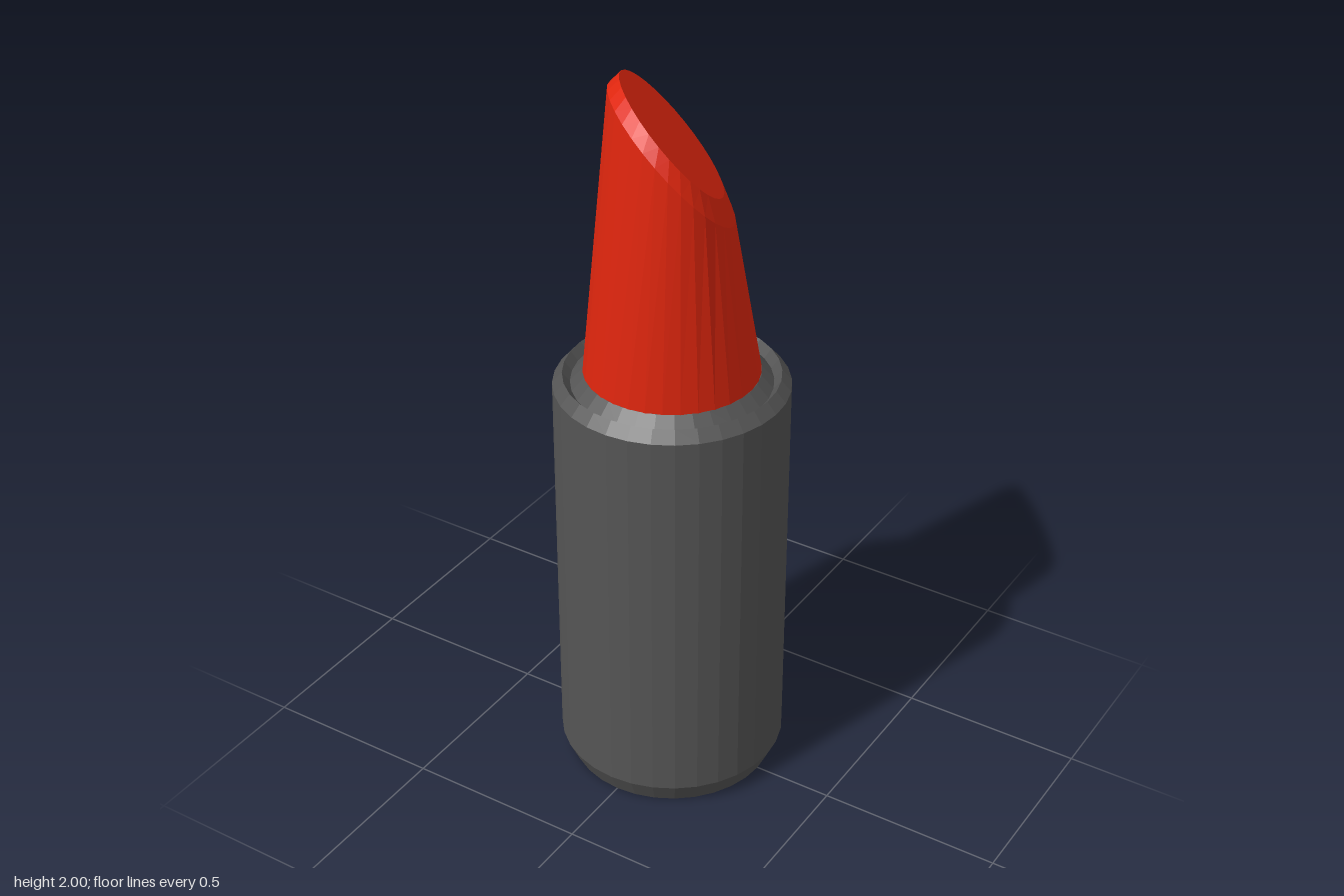
import * as THREE from 'three';

const SIDES = 32;
const SLANT = THREE.MathUtils.degToRad(52.5); // heading of the long axis of the slanted cut

// Elliptical section: a = half length, b = half width, y = centre height, slope = drop across the width
function section({ a, b, y, slope }) {
  const points = [];
  for (let i = 0; i < SIDES; i++) {
    const t = (i / SIDES) * Math.PI * 2;
    const v = a * Math.cos(t), u = b * Math.sin(t);
    points.push(
      v * Math.cos(SLANT) + u * Math.sin(SLANT),
      y - slope * u,
      v * Math.sin(SLANT) - u * Math.cos(SLANT)
    );
  }
  return points;
}

// Skin a stack of sections and close the upper end
function loft(sections) {
  const positions = sections.flatMap(section);
  const index = [];
  for (let s = 0; s < sections.length - 1; s++) {
    for (let i = 0; i < SIDES; i++) {
      const j = (i + 1) % SIDES;
      const p = s * SIDES + i, q = s * SIDES + j;
      index.push(p, q, q + SIDES, p, q + SIDES, p + SIDES);
    }
  }
  const last = (sections.length - 1) * SIDES;
  const centre = sections.length * SIDES;
  positions.push(0, sections[sections.length - 1].y, 0);
  for (let i = 0; i < SIDES; i++) index.push(centre, last + i, last + ((i + 1) % SIDES));

  const geometry = new THREE.BufferGeometry();
  geometry.setAttribute('position', new THREE.Float32BufferAttribute(positions, 3));
  geometry.setIndex(index);
  geometry.computeVertexNormals();
  return geometry;
}

export function createModel() {
  const group = new THREE.Group();
  group.name = 'lipstick';

  // Tube with bevelled ends and a shallow groove around the collar
  const profile = [
    [0, 0], [0.28, 0], [0.308, 0.06], [0.308, 1.16], [0.282, 1.19],
    [0.262, 1.165], [0.23, 1.2], [0, 1.2],
  ].map(([r, y]) => new THREE.Vector2(r, y));
  const tube = new THREE.Mesh(
    new THREE.LatheGeometry(profile, SIDES),
    new THREE.MeshStandardMaterial({ color: 0x555555, flatShading: true })
  );
  tube.name = 'tube';
  group.add(tube);

  // Round stick narrowing to a slanted cut with a bevelled rim
  const stick = new THREE.Mesh(
    loft([
      { a: 0.23, b: 0.23, y: 1.195, slope: 0 },
      { a: 0.228, b: 0.155, y: 1.8, slope: 1.1 },
      { a: 0.205, b: 0.126, y: 1.853, slope: 1.165 },
    ]),
    new THREE.MeshStandardMaterial({ color: 0xe0260e, flatShading: true })
  );
  stick.name = 'colourStick';
  group.add(stick);

  return group;
}
